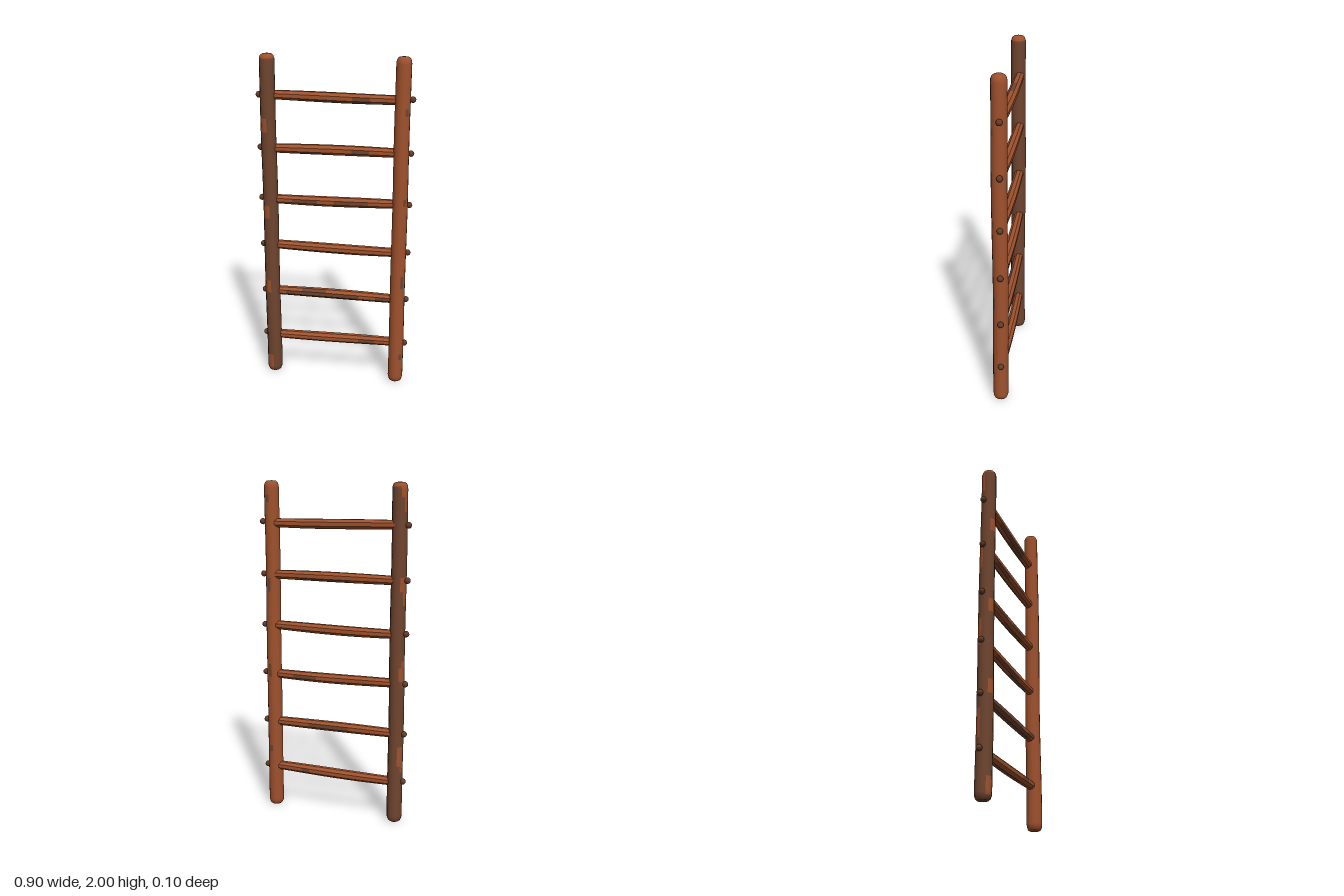
import * as THREE from 'three';

const mat = (name, color) => {
  const m = new THREE.MeshStandardMaterial({ color });
  m.name = name;
  return m;
};

// Closed round bar lofted along x or y. Each ring is {t, a, b, r}: place along
// the axis, centre offsets along the two cross axes, radius.
// isPatch(ring, side) picks the second material for that face.
function bar(axis, rings, sides, isPatch, turn = 0) {
  const pos = [], plain = [], patch = [];
  for (const { t, a, b, r } of rings) {
    for (let j = 0; j < sides; j++) {
      const w = turn + (j / sides) * Math.PI * 2;
      const u = a + r * Math.cos(w), v = b + r * Math.sin(w);
      if (axis === 'y') pos.push(v, t, u);
      else pos.push(t, u, v);
    }
  }
  for (let i = 0; i < rings.length - 1; i++) {
    for (let j = 0; j < sides; j++) {
      const k = (j + 1) % sides;
      const p = i * sides + j, q = i * sides + k;
      (isPatch(rings[i].t, j) ? patch : plain).push(p, q, q + sides, p, q + sides, p + sides);
    }
  }
  const g = new THREE.BufferGeometry();
  g.setAttribute('position', new THREE.Float32BufferAttribute(pos, 3));
  g.setIndex([...plain, ...patch]);
  g.addGroup(0, plain.length, 0);
  g.addGroup(plain.length, patch.length, 1);
  g.computeVertexNormals();
  return g;
}

export function createModel() {
  const sienna = mat('warm wood', 0xa0522d);
  const dark = mat('dark wood', 0x70452f);
  const knobWood = mat('peg wood', 0x633c29);
  const ladder = new THREE.Group();
  ladder.name = 'ladder';

  // Upright poles with rounded ends and a slight lean
  function pole(name, side, materials, isPatch) {
    const rings = [];
    const add = (y, r) => rings.push({
      t: y,
      a: 0.001 + 0.005 * (y / 2) + 0.002 * Math.sin(y * 5 + side),
      b: side * (0.384 - 0.004 * (y / 2)) + 0.001 * Math.sin(y * 7),
      r,
    });
    [[0.004, 0], [0.002, 0.03], [0.008, 0.038], [0.025, 0.044]].forEach(e => add(...e));
    for (let y = 0.04; y < 1.965; y += 0.04) add(y, 0.0455 - 0.0025 * (y / 2));
    [[1.975, 0.042], [1.99, 0.036], [1.997, 0.026], [2, 0]].forEach(e => add(...e));
    const mesh = new THREE.Mesh(bar('y', rings, 14, isPatch), materials);
    mesh.name = name;
    ladder.add(mesh);
  }

  // Wood stains recur along the grain at a fixed spacing
  const stain = (y, start, height) => {
    const d = (((y - start) % 0.51) + 0.51) % 0.51;
    return d < height;
  };
  pole('leftPole', 1, [sienna, dark], (y, j) =>
    (j === 1 && stain(y, 0.13, 0.05)) || (j === 6 && stain(y, 0.33, 0.06)));
  pole('rightPole', -1, [dark, sienna], (y, j) =>
    y > 1.97 ||
    ((j === 12 || j === 13) && stain(y, 0.02, 0.08)) ||
    (j === 9 && stain(y, 0.3, 0.16)) || (j === 8 && stain(y, 0.36, 0.08)));

  // Rungs: [height, stains as [side, fromX, toX]]; side 0 is top, 2 is front
  const rungs = [
    [0.258, [[2, 0.1, 0.24], [4, -0.3, 0.1], [6, 0.1, 0.2]]],
    [0.555, [[2, -0.35, 0.1], [2, 0.24, 0.36], [1, -0.2, -0.06], [3, -0.35, 0.3], [4, -0.3, 0.3], [6, -0.1, 0.1]]],
    [0.86, [[3, -0.25, 0.05], [4, 0, 0.25], [6, 0.05, 0.25]]],
    [1.155, [[2, -0.26, -0.14], [2, 0, 0.16], [4, -0.1, 0.2]]],
    [1.46, [[3, -0.3, -0.05], [2, 0.05, 0.2], [5, -0.1, 0.2]]],
    [1.765, [[0, -0.16, -0.04], [2, 0.05, 0.2], [3, -0.2, 0.2], [4, 0, 0.2]]],
  ];
  const knobGeo = new THREE.SphereGeometry(0.018, 12, 8);

  rungs.forEach(([y, stains], n) => {
    // Slightly swollen and bowed bar with flat whittled faces
    const rings = [{ t: -0.4, a: y, b: -0.005, r: 0 }];
    for (let i = 0; i <= 16; i++) {
      const x = -0.4 + i * 0.05, mid = Math.cos((x / 0.8) * Math.PI);
      rings.push({
        t: x,
        a: y + 0.004 * Math.sin(x * 4 + n * 1.9) - 0.002 * mid,
        b: -0.004 - 0.003 * mid,
        r: 0.026 + 0.004 * mid,
      });
    }
    rings.push({ t: 0.4, a: y, b: -0.005, r: 0 });
    const isPatch = (x, j) => stains.some(([s, from, to]) => s === j && x >= from && x < to);
    const geo = bar('x', rings, 8, isPatch, -Math.PI / 8).toNonIndexed();
    geo.computeVertexNormals();
    const rung = new THREE.Mesh(geo, [sienna, dark]);
    rung.name = 'rung' + (n + 1);
    ladder.add(rung);

    // Peg ends showing on the outside of the poles
    for (const s of [1, -1]) {
      const knob = new THREE.Mesh(knobGeo, knobWood);
      knob.name = (s > 0 ? 'leftPeg' : 'rightPeg') + (n + 1);
      knob.position.set(s * 0.434, y + 0.002, -0.005);
      ladder.add(knob);
    }
  });
  return ladder;
}
